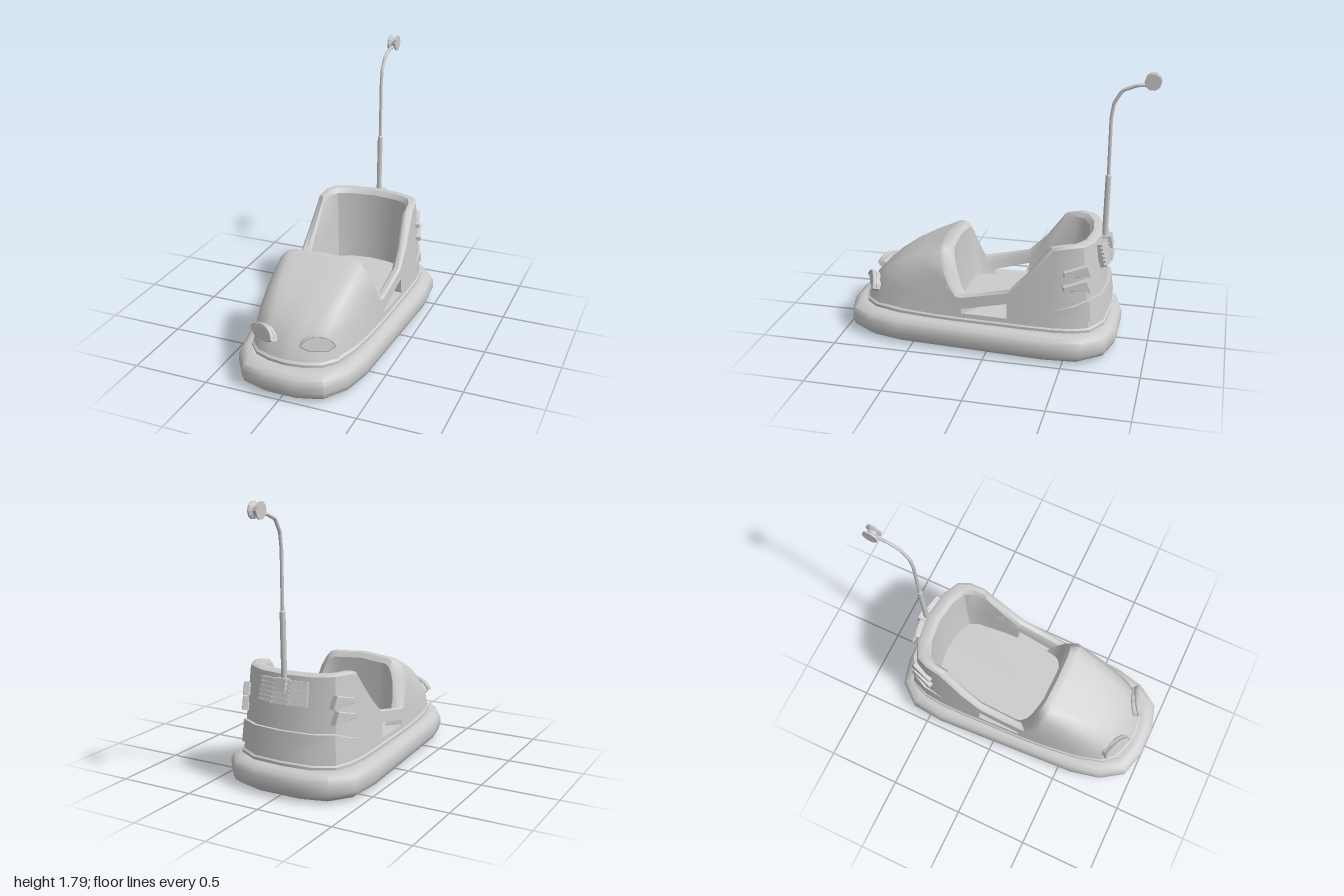
import * as THREE from 'three';
import { toCreasedNormals } from 'three/addons/utils/BufferGeometryUtils.js';

const mat = new THREE.MeshStandardMaterial({ color: 0xcccccc, side: THREE.DoubleSide });
const lerp = THREE.MathUtils.lerp;

function mesh(name, geometry, parent, x = 0, y = 0, z = 0) {
  const m = new THREE.Mesh(geometry, mat);
  m.name = name;
  m.position.set(x, y, z);
  parent.add(m);
  return m;
}

// Half a loop (front centre to rear centre) becomes a full one
const mirrorLoop = half => [...half, ...half.slice(1, -1).reverse().map(([x, ...rest]) => [-x, ...rest])];

// Skin over sections (one list of points per station); skip(i, r) leaves holes
function skin(sections, { closed = true, skip = () => false, capFirst = false, capLast = false, extra = [], crease = 0.6 } = {}) {
  const n = sections.length, rows = sections[0].length, pos = sections.flat(2), idx = [];
  const id = (i, r) => (i % n) * rows + r;
  const quad = (a, b, c, d) => idx.push(a, b, c, a, c, d);
  for (let i = 0; i < (closed ? n : n - 1); i++)
    for (let r = 0; r < rows - 1; r++)
      if (!skip(i, r)) quad(id(i, r), id(i + 1, r), id(i + 1, r + 1), id(i, r + 1));
  const cap = (r, up) => {
    const c = pos.length / 3;
    pos.push(0, sections[0][r][1], 0);
    for (let i = 0; i < n; i++) up ? idx.push(c, id(i, r), id(i + 1, r)) : idx.push(c, id(i + 1, r), id(i, r));
  };
  if (capFirst) cap(0, false);
  if (capLast) cap(rows - 1, true);
  for (const q of extra) quad(...q.map(([i, r]) => id(i, r)));
  const g = new THREE.BufferGeometry();
  g.setAttribute('position', new THREE.Float32BufferAttribute(pos, 3));
  g.setIndex(idx);
  return toCreasedNormals(g, crease);
}

// Stations of the shell: foot [x, z] and cockpit rim [x, y, z]
const foot = [[0, 0.9], [0.025, 0.9], [0.12, 0.885], [0.21, 0.85], [0.28, 0.77], [0.33, 0.6], [0.355, 0.4], [0.37, 0.2],
  [0.37, 0.17], [0.38, -0.13], [0.385, -0.25], [0.385, -0.42], [0.37, -0.55], [0.33, -0.65], [0.2, -0.725], [0, -0.74]];
const rim = [[0, 0.66, 0.355], [0.19, 0.645, 0.35], [0.23, 0.645, 0.345], [0.27, 0.63, 0.335], [0.3, 0.59, 0.32], [0.325, 0.53, 0.3],
  [0.345, 0.44, 0.265], [0.355, 0.355, 0.21], [0.36, 0.355, 0.17], [0.365, 0.42, -0.13], [0.36, 0.54, -0.26], [0.345, 0.73, -0.42],
  [0.335, 0.75, -0.52], [0.3, 0.75, -0.6], [0.19, 0.745, -0.655], [0, 0.745, -0.68]];
const FOOT_Y = 0.2, FLOOR_Y = 0.25;

// Point on the outer shell: the hood bulges, the other walls are straight
function wall(i, t) {
  const [fx, fz] = foot[i], [rx, ry, rz] = rim[i];
  const hood = i < 5;
  const k = hood ? 0.07 : 0.5, h = hood ? (i === 1 ? 0.5 : 0.58) : 0.5;
  const bez = (a, c, b) => (1 - t) * (1 - t) * a + 2 * t * (1 - t) * c + t * t * b;
  return [bez(fx, lerp(fx, rx, k), rx), bez(FOOT_Y, lerp(FOOT_Y, ry, h), ry), bez(fz, lerp(fz, rz, k), rz)];
}

function bodyGeometry() {
  const windowTop = { 8: 0.28, 9: 0.35 };
  const inward = ([x, , z], s, y) => [x * s, y, -0.17 + (z + 0.17) * s];
  const half = rim.map((p, i) => {
    const y = p[1], top = windowTop[i];
    let ts = [0, 0.25, 0.5, 0.68, 0.85, 1];
    if (top) {
      const lo = (FLOOR_Y - FOOT_Y) / (y - FOOT_Y), hi = (top - FOOT_Y) / (y - FOOT_Y);
      ts = [0, lo, hi, lerp(hi, 1, 0.35), lerp(hi, 1, 0.7), 1];
    }
    return [...ts.map(t => wall(i, t)),
      inward(p, 0.96, y + 0.012), inward(p, 0.88, y + 0.01), inward(p, 0.83, y - 0.02),
      inward(p, 0.81, top ?? lerp(y, FLOOR_Y, 0.6)), inward(p, 0.77, FLOOR_Y)];
  });
  const sections = [...half, ...half.slice(1, -1).reverse().map(s => s.map(([x, y, z]) => [-x, y, z]))];
  // Openings in both side sills, lined between the outer and inner walls
  const extra = [];
  for (const i of [8, 21]) {
    extra.push([[i, 1], [i + 1, 1], [i + 1, 10], [i, 10]], [[i, 9], [i + 1, 9], [i + 1, 2], [i, 2]]);
    extra.push([[i, 1], [i, 10], [i, 9], [i, 2]], [[i + 1, 2], [i + 1, 9], [i + 1, 10], [i + 1, 1]]);
  }
  const skip = (i, r) => (i === 8 || i === 21) && (r === 1 || r === 9);
  return skin(sections, { skip, extra, capLast: true });
}

// Stack of scaled copies of an outline: rings of [y, inset]
function ringStack(half, rings, zc, options) {
  const halfLength = Math.max(...half.map(p => Math.abs(p[1] - zc)));
  const halfWidth = Math.max(...half.map(p => p[0]));
  return skin(mirrorLoop(half).map(([x, z]) => rings.map(([y, d]) =>
    [x * (1 - d / halfWidth), y, zc + (z - zc) * (1 - d / halfLength)])), options);
}

// Rear band tapering to a point along each flank
function rearBand() {
  const half = [11, 12, 13, 14, 15].map((i, j) => {
    const lo = lerp(0.32, 0.27, Math.min(1, j / 2)), hi = lerp(0.335, 0.41, Math.min(1, j / 2));
    const at = (y, s) => {
      const p = wall(i, (y - FOOT_Y) / (rim[i][1] - FOOT_Y));
      return [p[0] * s, y, p[2] * s];
    };
    const s = j ? 1.028 : 1.003;
    return [at(lo, 0.99), at(lo, s), at(hi, s), at(hi, 0.99)];
  });
  const other = half.slice(0, -1).reverse().map(s => s.map(([x, y, z]) => [-x, y, z]));
  return skin([...half, ...other], { closed: false });
}

function sideDetails(parent) {
  // Headlight: almond lens with a raised brow
  const lamp = new THREE.Group();
  lamp.name = 'headlight';
  lamp.position.set(0.175, 0.325, 0.815);
  lamp.rotation.set(-0.25, 0.48, 0, 'YXZ');
  const lens = new THREE.Shape([[-0.1, -0.005], [-0.05, -0.03], [0.065, -0.035], [0.1, -0.01], [0.09, 0.015], [0.03, 0.045], [-0.03, 0.05], [-0.085, 0.025]]
    .map(p => new THREE.Vector2(...p)));
  mesh('lens', new THREE.ExtrudeGeometry(lens, { depth: 0.035, bevelThickness: 0.008, bevelSize: 0.006, bevelSegments: 1 }), lamp, 0, 0, -0.015);
  const brow = new THREE.CatmullRomCurve3([[-0.105, 0], [-0.085, 0.032], [-0.03, 0.058], [0.035, 0.052], [0.095, 0.02], [0.108, -0.01]]
    .map(([x, y]) => new THREE.Vector3(x, y, 0.022)));
  const browMesh = mesh('brow', new THREE.TubeGeometry(brow, 14, 0.008, 6), lamp);
  browMesh.scale.z = 2;
  browMesh.position.z = -0.02;
  parent.add(lamp);

  // Two wedge-shaped vents on the rear corner
  const fin = new THREE.Shape([[0, 0], [0, 0.022], [0.14, 0.06], [0.168, -0.012]].map(p => new THREE.Vector2(...p)));
  const finGeometry = new THREE.ExtrudeGeometry(fin, { depth: 0.032, bevelThickness: 0.006, bevelSize: 0.004, bevelSegments: 1 });
  for (const y of [0.485, 0.58])
    mesh('vent', finGeometry, parent, lerp(0.35, 0.34, (y - 0.485) / 0.095), y, -0.485).rotation.y = 1.876;
}

export function createModel() {
  const car = new THREE.Group();
  car.name = 'bumperCar';

  // Rubber bumper with a flat underside
  const outline = [[0, 1], [0.1, 1], [0.27, 0.95], [0.37, 0.8], [0.415, 0.6], [0.47, -0.4], [0.45, -0.62], [0.34, -0.755], [0.16, -0.805], [0, -0.805]];
  mesh('bumper', ringStack(outline, [[0.005, 0.09], [0.014, 0.045], [0.04, 0.012], [0.075, 0], [0.125, 0], [0.158, 0.012], [0.18, 0.045], [0.187, 0.085], [0.18, 0.12]],
    0.1, { capFirst: true, capLast: true, crease: 0.75 }), car);

  // Shell and the lip around its foot
  mesh('body', bodyGeometry(), car);
  mesh('skirt', ringStack(foot, [[0.17, 0.03], [0.192, 0.02], [0.194, -0.008], [0.212, -0.008], [0.224, 0.006]], 0.08), car);
  mesh('rearBand', rearBand(), car);

  // Paired details
  for (const s of [1, -1]) {
    const side = new THREE.Group();
    side.name = s > 0 ? 'leftDetails' : 'rightDetails';
    side.scale.x = s;
    sideDetails(side);
    car.add(side);
  }

  // Rear grille in three angled panels
  for (const i of [-1, 0, 1]) {
    const panel = new THREE.Group();
    panel.name = 'grillePanel';
    panel.position.set(0.107 * i, 0.645, -0.708 + 0.012 * Math.abs(i));
    panel.rotation.set(0.25, -0.2 * i, 0, 'YXZ');
    mesh('grilleBack', new THREE.BoxGeometry(0.11, 0.15, 0.03), panel);
    for (let j = 0; j < 6; j++)
      mesh('slat', new THREE.BoxGeometry(0.108, 0.012, 0.016), panel, 0, -0.068 + j * 0.027, -0.02);
    car.add(panel);
  }
  mesh('poleClamp', new THREE.BoxGeometry(0.075, 0.08, 0.07), car, 0, 0.69, -0.708).rotation.x = 0.2;

  // Pole: thick sleeve, then a thin rod bending backwards
  const tube = (name, pts, segments, r) => {
    const path = new THREE.CurvePath();
    const v = pts.map(([y, z]) => new THREE.Vector3(0, y, z));
    for (let i = 1; i < v.length; i++) path.add(new THREE.LineCurve3(v[i - 1], v[i]));
    mesh(name, new THREE.TubeGeometry(path, segments, r, 8), car);
  };
  tube('poleSleeve', [[0.68, -0.69], [1.13, -0.7]], 1, 0.018);
  mesh('sleeveTop', new THREE.CylinderGeometry(0.011, 0.018, 0.008, 8), car, 0, 1.133, -0.7);
  tube('poleRod', [[1.1, -0.7], [1.5, -0.703], [1.6, -0.717], [1.68, -0.765], [1.715, -0.85], [1.72, -0.94]], 40, 0.011);

  // Grooved contact wheel
  const spool = [[0, -0.03], [0.052, -0.03], [0.052, -0.02], [0.03, -0.008], [0.03, 0.008], [0.052, 0.02], [0.052, 0.03], [0, 0.03]];
  const wheel = new THREE.LatheGeometry(spool.map(p => new THREE.Vector2(...p)), 10);
  mesh('contactWheel', toCreasedNormals(wheel, 0.3), car, 0, 1.745, -0.948).rotation.z = Math.PI / 2;

  return car;
}
